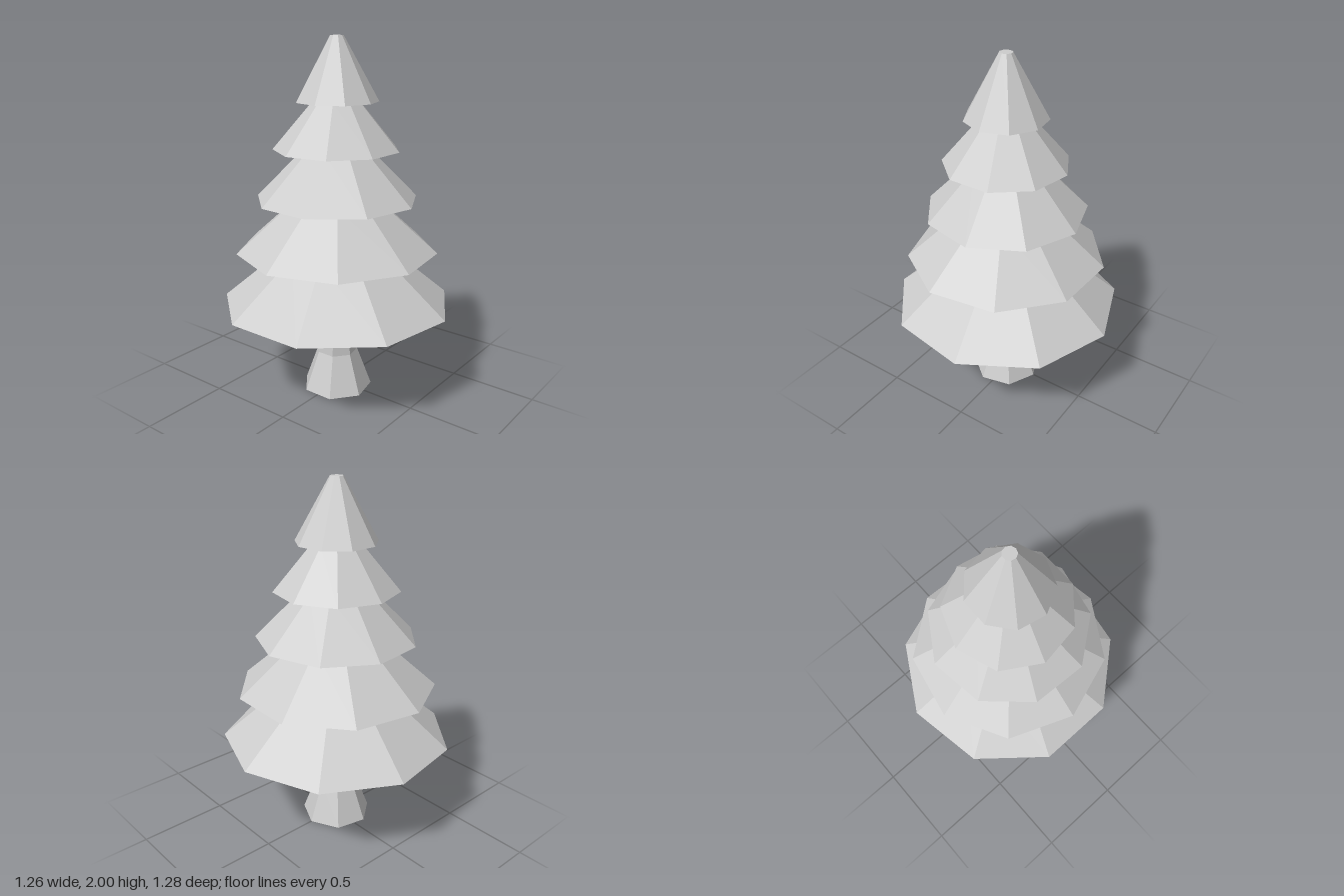
import * as THREE from 'three';

export function createModel() {
  const grey = new THREE.MeshStandardMaterial({ color: 0xcccccc, flatShading: true });
  const tree = new THREE.Group();
  tree.name = 'pineTree';

  // Faceted solid of revolution; turn is the angle of one corner from +x towards +z
  function faceted(name, profile, sides, turn) {
    const points = profile.map(([r, y]) => new THREE.Vector2(r, y));
    const start = Math.PI / 2 - THREE.MathUtils.degToRad(turn);
    const mesh = new THREE.Mesh(new THREE.LatheGeometry(points, sides, start), grey);
    mesh.name = name;
    mesh.position.x = -0.02;
    tree.add(mesh);
  }

  // Seven-sided trunk, flared at the foot
  faceted('trunk', [[0, 0], [0.2, 0], [0.117, 0.225], [0.1, 0.53]], 7, 0);

  // Nine-sided skirts of branches: [base y, top y, base radius, top radius, turn]
  const tiers = [
    [0.53, 0.84, 0.652, 0.285, 0],
    [0.84, 1.13, 0.56, 0.23, 21.7],
    [1.13, 1.405, 0.45, 0.18, 2.6],
    [1.405, 1.66, 0.347, 0.13, 31],
    [1.66, 2, 0.226, 0.036, 11.6],
  ];
  tiers.forEach(([y0, y1, r0, r1, turn], i) => {
    faceted(`branchTier${i + 1}`, [[0, y0], [r0, y0], [r1, y1], [0, y1]], 9, turn);
  });

  return tree;
}
